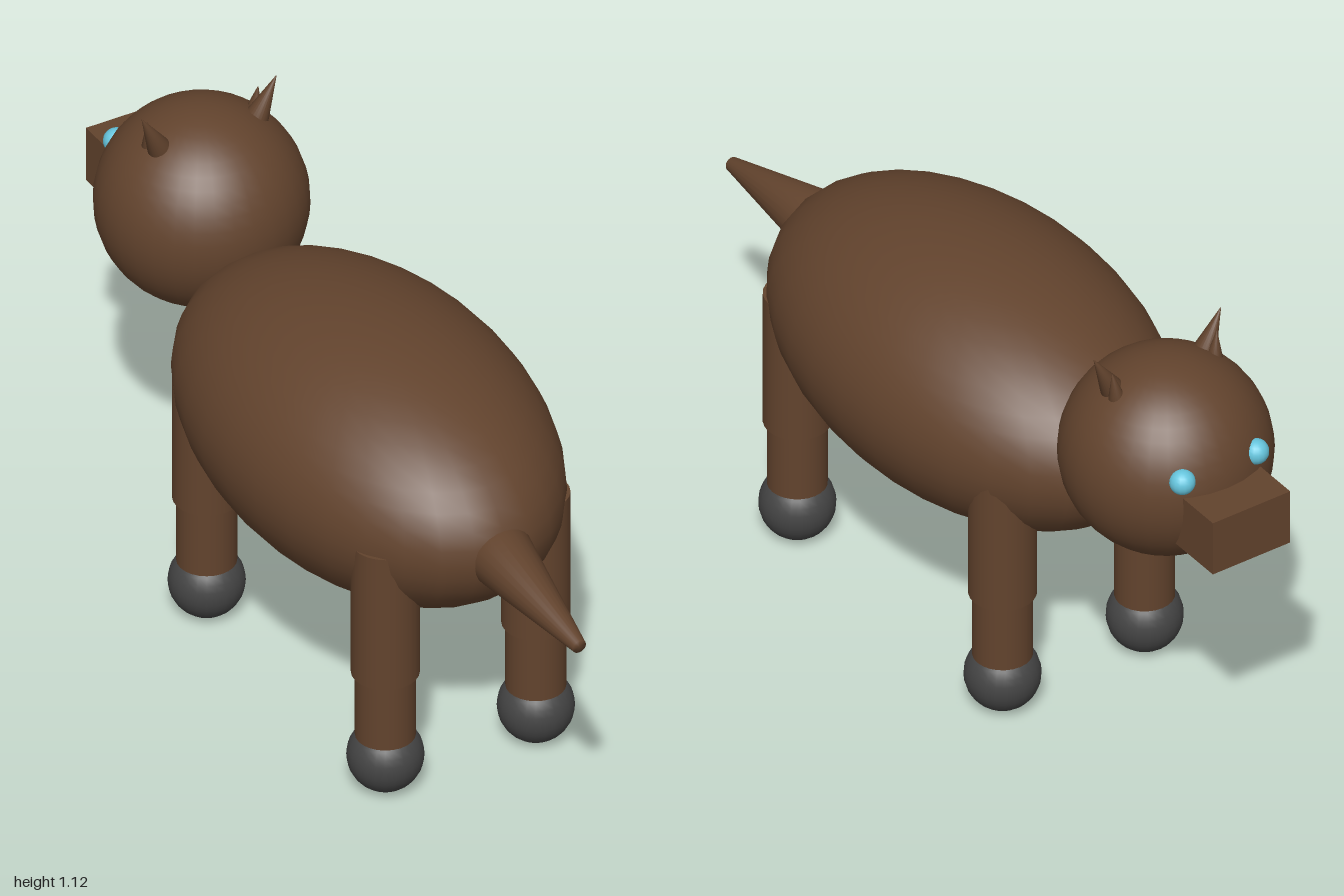
import * as THREE from 'three';

const material = (name, color) => {
  const m = new THREE.MeshStandardMaterial({ color });
  m.name = name;
  return m;
};

export function createModel() {
  const group = new THREE.Group();
  const brown = material('brown fur', 0x62432d);
  const grey = material('dark grey hoof', 0x444444);
  const blue = material('light blue eye', 0x66c5dd);

  const add = (name, geometry, mat, x, y, z) => {
    const mesh = new THREE.Mesh(geometry, mat);
    mesh.name = name;
    mesh.position.set(x, y, z);
    group.add(mesh);
    return mesh;
  };

  // Tapered spike from a base point to a tip point
  const spike = (name, from, to, rBase, rTip) => {
    const a = new THREE.Vector3(...from), b = new THREE.Vector3(...to);
    const axis = b.clone().sub(a);
    const length = axis.length();
    const profile = [[0, 0], [rBase, 0], [rTip, length], [0, length]];
    const points = profile.map(([r, h]) => new THREE.Vector2(r, h));
    const mesh = add(name, new THREE.LatheGeometry(points, 24), brown, a.x, a.y, a.z);
    mesh.quaternion.setFromUnitVectors(new THREE.Vector3(0, 1, 0), axis.normalize());
  };

  // Body, head and snout
  const body = new THREE.SphereGeometry(1, 32, 24).scale(0.365, 0.304, 0.61);
  add('body', body, brown, 0, 0.66, 0.07);
  add('head', new THREE.SphereGeometry(0.242, 32, 24), brown, 0, 0.835, -0.67);
  add('snout', new THREE.BoxGeometry(0.21, 0.14, 0.2), brown, 0, 0.795, -0.9);

  // Tail
  spike('tail', [0, 0.66, 0.66], [0, 0.62, 1], 0.075, 0.017);

  for (const [side, s] of [['left', 1], ['right', -1]]) {
    // Eye and two-pointed ear
    add(side + 'Eye', new THREE.SphereGeometry(0.03, 16, 12), blue, s * 0.1, 0.903, -0.875);
    spike(side + 'Ear', [s * 0.115, 1.01, -0.642], [s * 0.172, 1.125, -0.637], 0.034, 0.001);
    spike(side + 'EarTuft', [s * 0.13, 1.01, -0.67], [s * 0.142, 1.09, -0.665], 0.024, 0.001);

    // Legs with hooves
    for (const [end, z] of [['Front', -0.315], ['Hind', 0.475]]) {
      const x = s * 0.193, leg = side + end;
      add(leg + 'UpperLeg', new THREE.CylinderGeometry(0.077, 0.077, 0.35, 24), brown, x, 0.485, z);
      add(leg + 'LowerLeg', new THREE.CylinderGeometry(0.068, 0.068, 0.24, 24), brown, x, 0.21, z);
      add(leg + 'Hoof', new THREE.SphereGeometry(0.087, 24, 16), grey, x, 0.088, z);
    }
  }
  return group;
}
